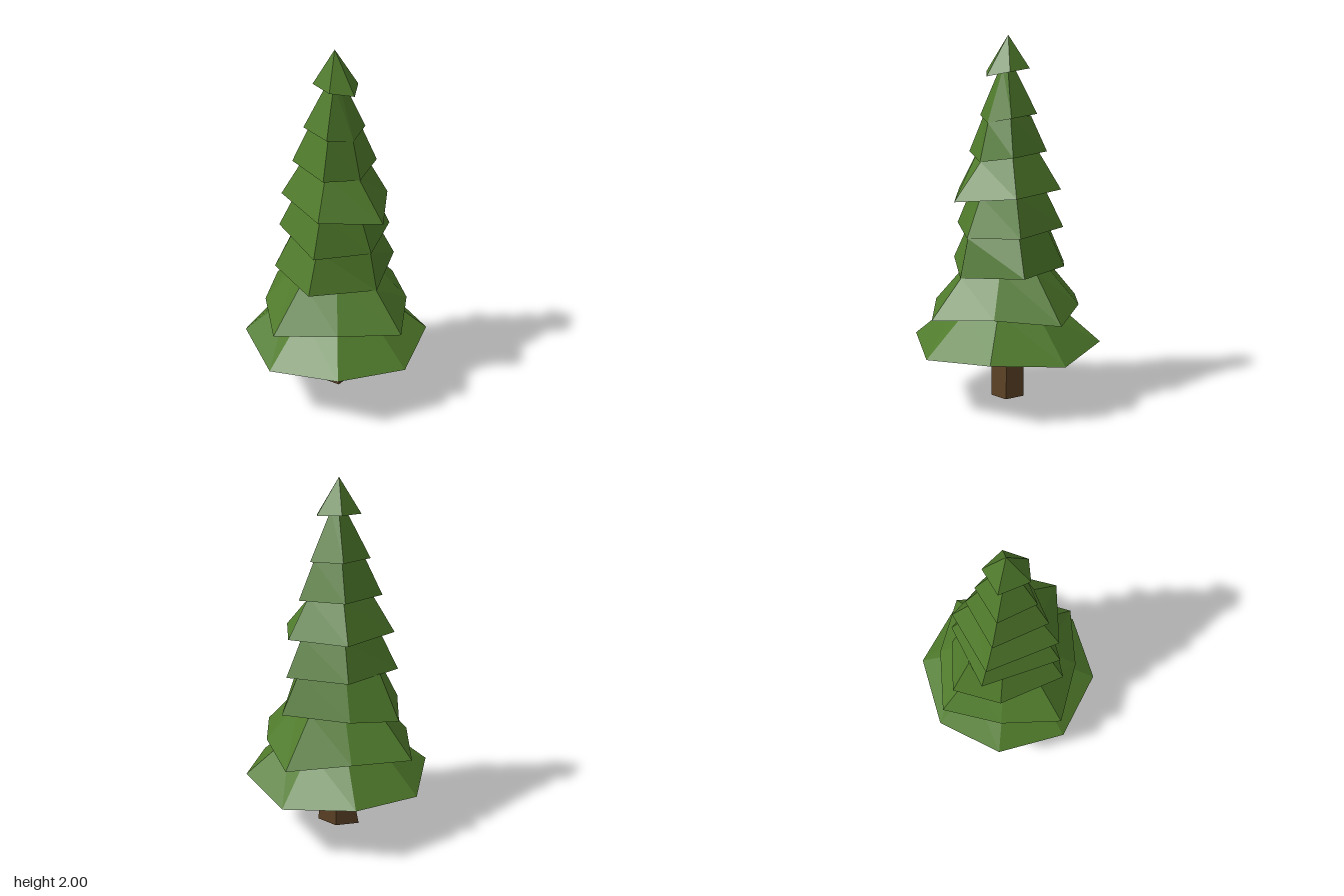
import * as THREE from 'three';

const leafMat = new THREE.MeshStandardMaterial({ color: 0x4f7a2b, flatShading: true });
const barkMat = new THREE.MeshStandardMaterial({ color: 0x5c4226, flatShading: true });

// Skins a stack of rings (lists of [x, y, z], ordered right, front, left, back) and closes both ends.
function skin(name, rings, material, bottomCentre, topCentre) {
  const pos = [];
  const tri = (...corners) => corners.forEach((c) => pos.push(...c));
  const n = rings[0].length;
  for (let i = 0; i < n; i++) {
    const j = (i + 1) % n;
    tri(bottomCentre, rings[0][i], rings[0][j]);
    for (let k = 0; k + 1 < rings.length; k++) {
      const lo = rings[k], hi = rings[k + 1];
      tri(lo[i], hi[i], hi[j]);
      tri(lo[i], hi[j], lo[j]);
    }
    const last = rings[rings.length - 1];
    tri(topCentre, last[j], last[i]);
  }
  const geo = new THREE.BufferGeometry();
  geo.setAttribute('position', new THREE.Float32BufferAttribute(pos, 3));
  geo.computeVertexNormals();
  const mesh = new THREE.Mesh(geo, material);
  mesh.name = name;
  return mesh;
}

// Eight-sided skirt: four drooping axis tips and four raised diagonal corners.
function octagon(tip, tipY, diag, diagY) {
  return Array.from({ length: 8 }, (_, i) => {
    const a = (i * Math.PI) / 4;
    const r = i % 2 ? diag : tip;
    return [Math.cos(a) * r, i % 2 ? diagY : tipY, Math.sin(a) * r];
  });
}

// Lopsided five-sided skirt: right tip hangs lower than the other corners.
function pentagon(rightX, rightY, y, sideX, sideZ, left, back) {
  return [
    [rightX, rightY, 0],
    [sideX, y, sideZ],
    [left[0], y, left[1]],
    [-back, y + 0.015, -back],
    [sideX, y, -sideZ],
  ];
}

// Each tier: lower ring, scale of its upper ring, height of the upper ring, upper right corner [x, y].
const tiers = [
  { ring: octagon(0.523, 0.305, 0.52, 0.34), scale: 0.52, top: 0.55, right: [0.26, 0.54] },
  { ring: octagon(0.487, 0.515, 0.4, 0.545), scale: 0.54, top: 0.76, right: [0.3, 0.72] },
  {
    ring: [
      [0.305, 0.72, 0], [0.125, 0.755, 0.34], [-0.245, 0.755, 0.237],
      [-0.4, 0.725, 0], [-0.23, 0.755, -0.22], [0.13, 0.755, -0.34],
    ],
    scale: 0.69, top: 0.97, right: [0.255, 0.93],
  },
  { ring: pentagon(0.26, 0.93, 0.96, 0.125, 0.3, [-0.3, 0.145], 0.22), scale: 0.69, top: 1.17, right: [0.17, 1.15] },
  { ring: pentagon(0.34, 1.135, 1.165, 0.13, 0.27, [-0.27, 0.15], 0.21), scale: 0.59, top: 1.38, right: [0.17, 1.335] },
  { ring: pentagon(0.175, 1.335, 1.37, 0.105, 0.205, [-0.205, 0.125], 0.155), scale: 0.6, top: 1.575, right: [0.122, 1.54] },
  { ring: pentagon(0.125, 1.54, 1.57, 0.073, 0.145, [-0.147, 0.095], 0.117), scale: 0.24, top: 1.83, right: [0.025, 1.82] },
  { ring: pentagon(0.13, 1.785, 1.81, 0.055, 0.107, [-0.11, 0.06], 0.088), scale: 0, top: 2, right: [-0.01, 2] },
];

export function createModel() {
  const tree = new THREE.Group();
  tree.name = 'pineTree';

  // Foliage
  const foliage = new THREE.Group();
  foliage.name = 'foliage';
  tiers.forEach(({ ring, scale, top, right }, t) => {
    const upper = ring.map(([x, , z], i) =>
      i === 0 ? [right[0], right[1], 0] : [x * scale - (scale ? 0 : 0.01), top, z * scale]);
    const y = Math.max(...ring.map((p) => p[1]));
    foliage.add(skin(`foliageTier${t + 1}`, [ring, upper], leafMat, [0, y + 0.01, 0], [-0.01, top, 0]));
  });
  tree.add(foliage);

  // Crooked trunk
  const trunk = [
    [[0.07, 0, 0.05], [-0.06, 0, 0.08], [-0.135, 0, 0.02], [-0.05, 0.01, -0.09], [0.07, 0.015, -0.09]],
    [[0.07, 0.21, 0.05], [-0.04, 0.2, 0.075], [-0.095, 0.2, 0.01], [-0.05, 0.2, -0.09], [0.065, 0.2, -0.09]],
    [[0.07, 0.36, 0.07], [-0.06, 0.36, 0.09], [-0.125, 0.36, 0.02], [-0.06, 0.36, -0.09], [0.07, 0.36, -0.09]],
  ];
  tree.add(skin('trunk', trunk, barkMat, [-0.02, 0.005, 0], [0, 0.36, 0]));

  return tree;
}
